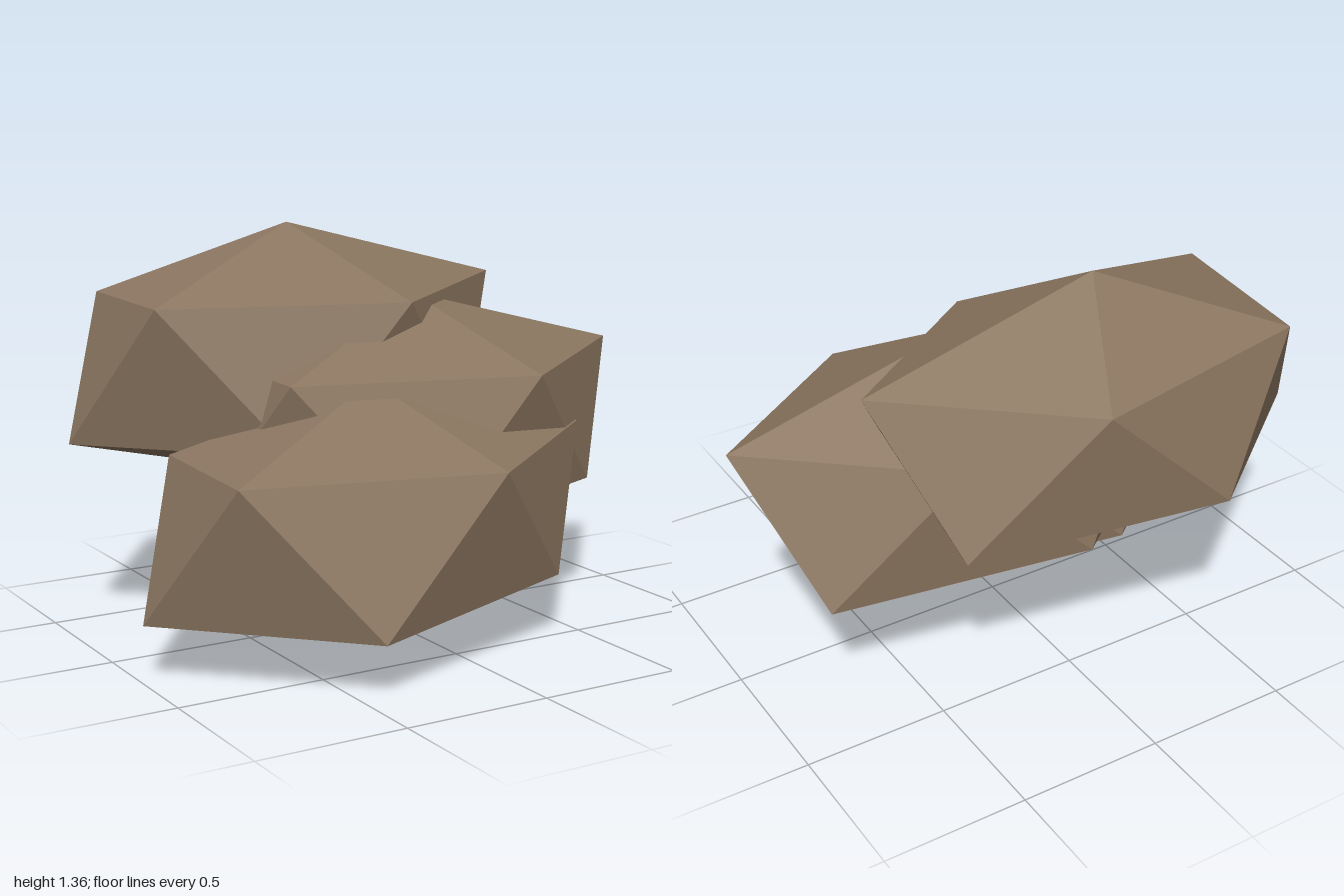
import * as THREE from 'three';

// One faceted boulder: two poles and two staggered rings of five corners
function boulderGeometry() {
  const top = [0, 0.445, 0];
  const bottom = [0, -0.445, 0];
  const upper = [
    [0.84, 0.23, 0], [0.23, 0.198, 0.455], [-0.64, 0.215, 0.305],
    [-0.59, 0.21, -0.29], [0.22, 0.19, -0.44],
  ];
  const lower = [
    [0.57, -0.225, 0.27], [-0.26, -0.265, 0.53], [-0.82, -0.255, -0.005],
    [-0.23, -0.238, -0.48], [0.66, -0.255, -0.32],
  ];
  const positions = [];
  const face = (...corners) => corners.forEach((c) => positions.push(...c));
  for (let i = 0; i < 5; i++) {
    const j = (i + 1) % 5;
    face(top, upper[j], upper[i]);
    face(upper[i], upper[j], lower[i]);
    face(lower[i], upper[j], lower[j]);
    face(bottom, lower[i], lower[j]);
  }
  const geometry = new THREE.BufferGeometry();
  geometry.setAttribute('position', new THREE.Float32BufferAttribute(positions, 3));
  geometry.computeVertexNormals();
  return geometry;
}

export function createModel() {
  const group = new THREE.Group();
  group.name = 'rockPile';
  const stone = new THREE.MeshStandardMaterial({ color: 0x8b7660, flatShading: true });
  stone.name = 'brownStone';
  const geometry = boulderGeometry();

  // Three equal boulders stepping up towards the back
  const boulders = [
    ['frontBoulder', -0.18, 0.445, 0.26],
    ['middleBoulder', 0.155, 0.682, -0.03],
    ['backBoulder', -0.18, 0.918, -0.312],
  ];
  for (const [name, x, y, z] of boulders) {
    const mesh = new THREE.Mesh(geometry, stone);
    mesh.name = name;
    mesh.position.set(x, y, z);
    group.add(mesh);
  }
  return group;
}
